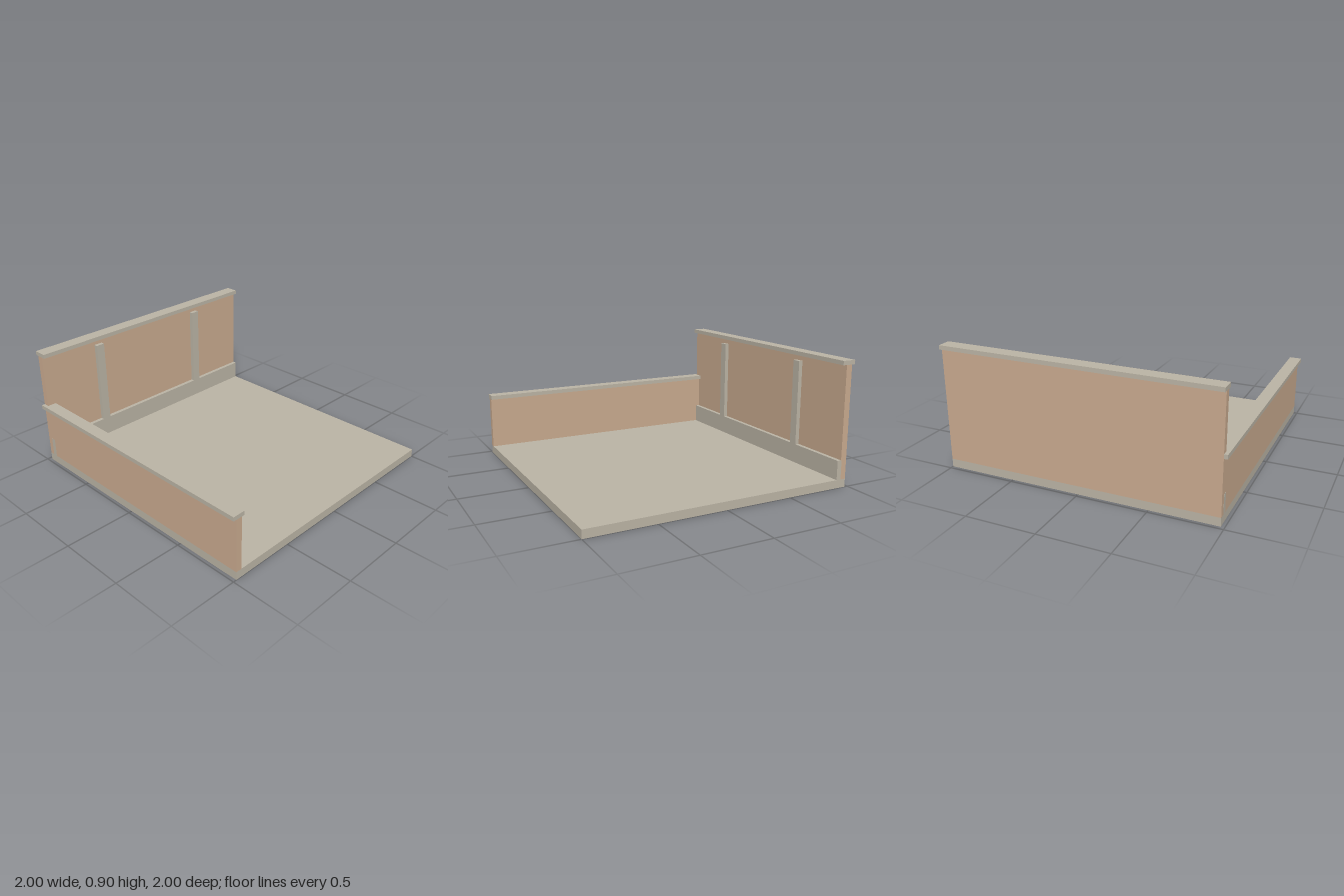
import * as THREE from 'three';

const trim = new THREE.MeshStandardMaterial({ color: 0xbab3a4 });
const panel = new THREE.MeshStandardMaterial({ color: 0xc8a98e });

// Box given by its extents along each axis
function block(name, material, [x0, x1], [y0, y1], [z0, z1]) {
  const mesh = new THREE.Mesh(new THREE.BoxGeometry(x1 - x0, y1 - y0, z1 - z0), material);
  mesh.position.set((x0 + x1) / 2, (y0 + y1) / 2, (z0 + z1) / 2);
  mesh.name = name;
  return mesh;
}

export function createModel() {
  const model = new THREE.Group();
  model.name = 'roomCorner';

  // Floor slab
  model.add(block('floor', trim, [-0.975, 1], [0, 0.06], [-1, 0.975]));

  // Tall side wall with its overhanging cap
  model.add(block('sideWall', panel, [-0.975, -0.93], [0.06, 0.87], [-1, 0.975]));
  model.add(block('sideWallCap', trim, [-1, -0.9], [0.87, 0.9], [-1, 0.975]));

  // Low front wall with its overhanging cap
  model.add(block('frontWall', panel, [-0.975, 1], [0.06, 0.45], [0.93, 0.975]));
  model.add(block('frontWallCap', trim, [-0.975, 1], [0.45, 0.48], [0.91, 1]));

  // Baseboard along the side wall; its end shows flush in the front wall
  model.add(block('baseboard', trim, [-0.935, -0.9], [0.06, 0.2], [-1, 0.976]));

  // Upright battens on the side wall
  for (const z of [-0.5, 0.485]) {
    model.add(block('batten', trim, [-0.93, -0.9], [0.2, 0.83], [z - 0.033, z + 0.033]));
  }

  return model;
}
